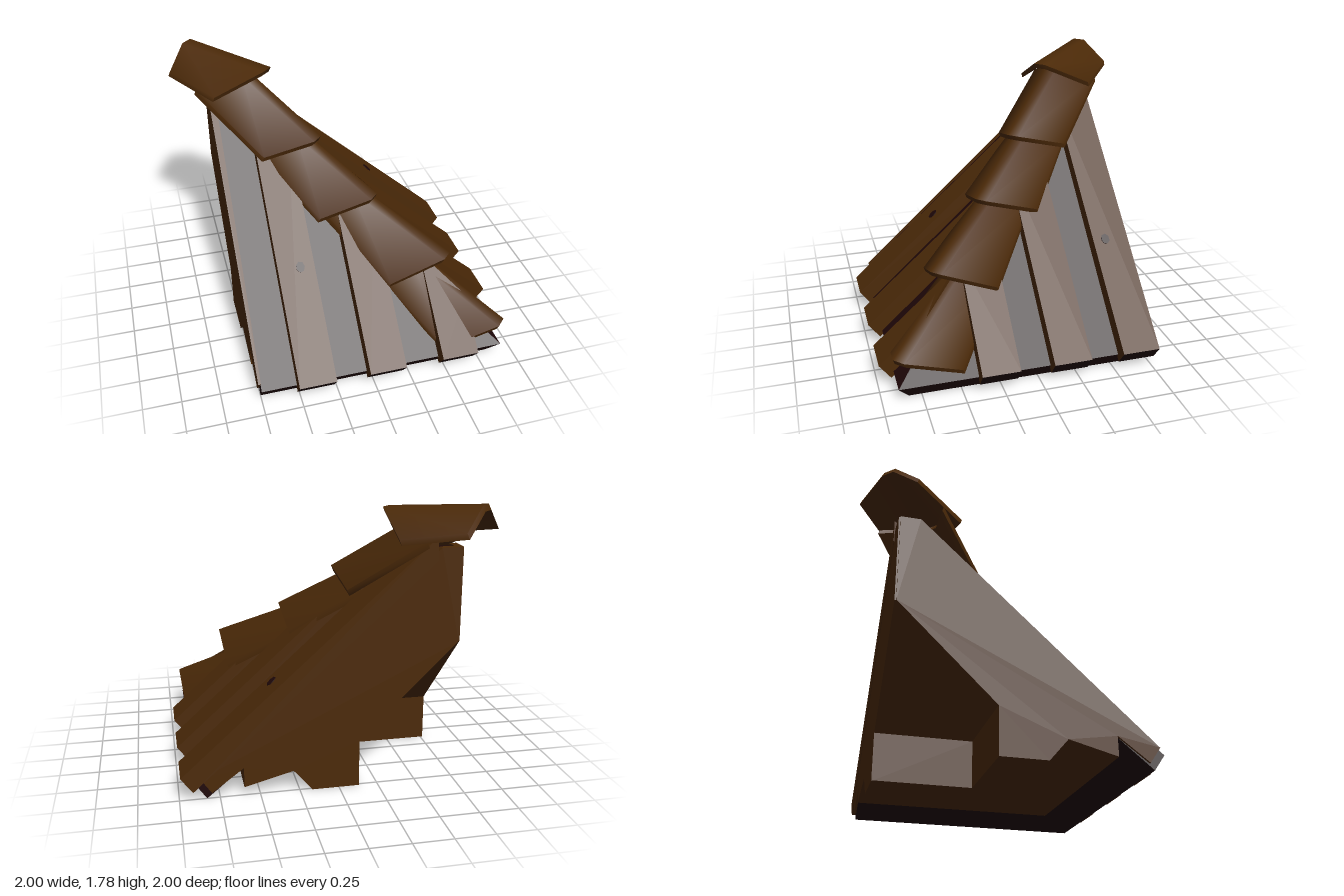
import * as THREE from 'three';
import { toCreasedNormals } from 'three/addons/utils/BufferGeometryUtils.js';

const wood = new THREE.MeshStandardMaterial({ color: 0x4c2a08 });
wood.name = 'brown wood';
const dark = new THREE.MeshStandardMaterial({ color: 0x1f0708 });
dark.name = 'dark under-roof';

const EAVE = 0.99, PITCH = 0.9;
const boardTop = s => 0.155 + PITCH * (EAVE - s);

// Applies a rule to every vertex, then gives flat normals
function reshape(geo, rule) {
  const g = geo.index ? geo.toNonIndexed() : geo;
  const p = g.attributes.position;
  for (let i = 0; i < p.count; i++) p.setXYZ(i, ...rule(p.getX(i), p.getY(i), p.getZ(i)));
  g.computeVertexNormals();
  return g;
}

// Reflects across the hip plane x = z and restores the winding
function swapSides(geo) {
  const g = reshape(geo.clone(), (x, y, z) => [z, y, x]);
  const a = g.attributes.position.array;
  for (let i = 0; i < a.length; i += 9)
    for (let k = 0; k < 3; k++) [a[i + 3 + k], a[i + 6 + k]] = [a[i + 6 + k], a[i + 3 + k]];
  g.computeVertexNormals();
  return g;
}

// Extrudes an outward profile along the eave
function prism(points, w0, w1) {
  const shape = new THREE.Shape(points.map(p => new THREE.Vector2(...p)));
  const geo = new THREE.ExtrudeGeometry(shape, { depth: 1, bevelEnabled: false });
  return reshape(geo, (s, y, z) => [s, y, z < 0.5 ? w0 : w1(s)]);
}

// Sloping board with a mitred upper end and a square lower end
function board(w0, w1) {
  return reshape(new THREE.BoxGeometry(1, 1, 1), (x, y, z) => {
    const w = z < 0 ? w0 : w1;
    if (x > 0) return y > 0 ? [EAVE, boardTop(EAVE), w] : [EAVE - 0.075, boardTop(EAVE) - 0.1, w];
    const s = Math.max(w, -0.6);
    return [s, boardTop(s) - (y > 0 ? 0 : 0.15), w];
  });
}
const boardMaterials = [dark, wood, wood, wood, wood, wood]; // dark eave end

// Folded hip cap: each end is [ridge t, ridge y, corner back, corner out, corner drop]
function cap(start, end) {
  const section = ([t, y, back, out, drop]) => {
    const top = [
      [t - back, y - drop, t + out], [t - 0.04, y, t + 0.02],
      [t + 0.02, y, t - 0.04], [t + out, y - drop, t - back],
    ];
    const under = top.map(([a, b, c]) => [a - 0.012, b - 0.035, c - 0.012]).reverse();
    return [...top, ...under];
  };
  const verts = [...section(start), ...section(end)].flat();
  const index = [];
  for (let i = 0; i < 8; i++) {
    const j = (i + 1) % 8;
    index.push(i, i + 8, j, j, i + 8, j + 8);
  }
  for (let i = 0; i < 3; i++) {
    const j = i + 1, k = 6 - i, l = 7 - i;
    index.push(i, j, k, i, k, l);
    index.push(i + 8, k + 8, j + 8, i + 8, l + 8, k + 8);
  }
  const g = new THREE.BufferGeometry();
  g.setAttribute('position', new THREE.Float32BufferAttribute(verts, 3));
  g.setIndex(index);
  return toCreasedNormals(g, 0.9);
}

// Thin knot plate lying on a surface
function knot(position, normal, size) {
  const g = new THREE.CylinderGeometry(size, size, 0.009, 7);
  g.scale(1, 1, 0.8);
  g.applyQuaternion(new THREE.Quaternion().setFromUnitVectors(
    new THREE.Vector3(0, 1, 0), new THREE.Vector3(...normal).normalize()));
  return g.translate(...position).toNonIndexed();
}

export function createModel() {
  const model = new THREE.Group();
  model.name = 'roofHipCorner';
  const add = (name, geo, mat, parent = model) => {
    const m = new THREE.Mesh(geo, mat);
    m.name = name;
    parent.add(m);
  };

  // Profiles of the deck, the frame under it and the gable board closing its end
  const underside = [[0.6, 0.06], [0.29, 0.14], [0.17, 0], [-0.13, 0], [-0.13, 0.31], [-0.755, 0.92]];
  const deck = prism([[-0.75, 1.5], [-0.62, 1.5], [0.9, 0.1], [0.83, 0], [-0.75, 1.3]], -0.75, s => s);
  const frame = prism([[-0.755, 1.4], [0.6, 0.3], ...underside], -0.755, s => Math.max(s, -0.755));
  const gable = prism([[-0.755, 1.515], [-0.625, 1.515], [0.87, 0.14], [0.8, 0.04], [0.6, 0.19],
    ...underside], -0.765, s => -0.73 - 0.02 * s);

  // Two slopes meeting at the hip, with staggered boards
  const wings = [
    { name: 'rightSlope', side: g => g, boards: [-0.77, -0.31, 0.155], knotAt: [0.4, -0.61] },
    { name: 'frontSlope', side: swapSides, boards: [-0.52, -0.05, 0.45], knotAt: [0.42, -0.37] },
  ];
  for (const { name, side, boards, knotAt } of wings) {
    const wing = new THREE.Group();
    wing.name = name;
    model.add(wing);
    add('roofDeck', side(deck), dark, wing);
    add('underFrame', side(frame), wood, wing);
    add('gableBoard', side(gable), wood, wing);
    boards.forEach(w => add('roofBoard', side(board(w, w + 0.245)), boardMaterials, wing));
    const [s, w] = knotAt;
    add('boardKnot', side(knot([s, boardTop(s), w], [PITCH, 1, 0], 0.037)), dark, wing);
  }

  // Overlapping caps down the hip
  const caps = [
    [[-0.5, 1.65, 0.35, 0, 0.08], [-0.1, 1.3, 0.38, -0.01, 0.09]],
    [[-0.2, 1.3, 0.3, 0, 0.09], [0.21, 0.98, 0.39, 0.01, 0.1]],
    [[0.1, 1.0, 0.27, 0, 0.09], [0.6, 0.69, 0.4, 0, 0.15]],
    [[0.42, 0.62, 0.28, 0, 0.1], [0.9, 0.29, 0.4, 0, 0.12]],
  ];
  caps.forEach(([a, b]) => add('hipCap', cap(a, b), wood));
  add('peakCap', cap([-0.84, 1.78, 0.155, 0.155, 0.14], [-0.37, 1.72, 0.375, 0.01, 0.15]), wood);
  add('capKnot', knot([0.83, 0.318, 0.76], [0.41, 0.45, -0.1], 0.024), dark);
  return model;
}
